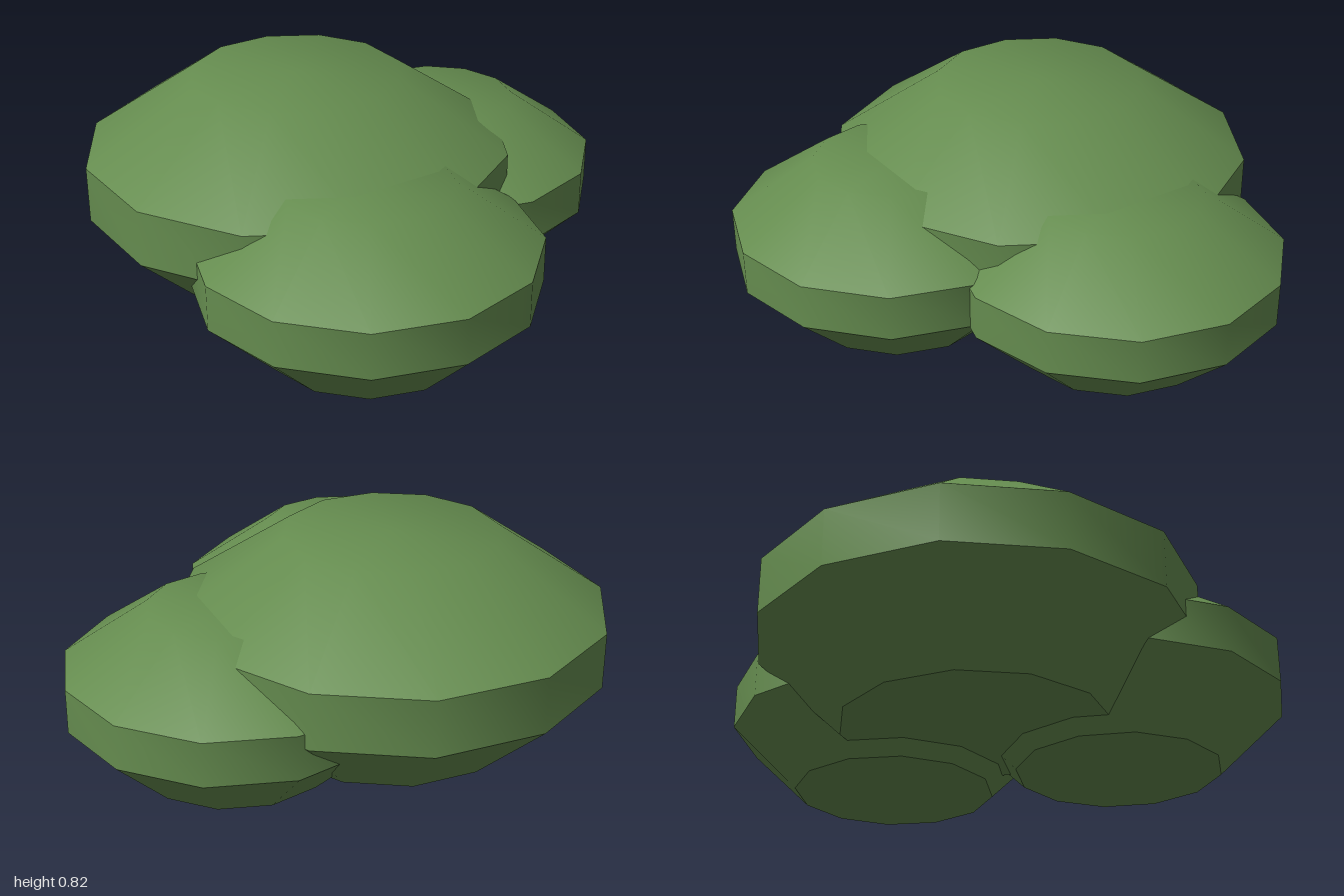
import * as THREE from 'three';
import { toCreasedNormals } from 'three/addons/utils/BufferGeometryUtils.js';

const SIDES = 12;

// Relative profile of one leafy clump: [radius, height], from base to crown
const PROFILE = [[0, 0], [0.605, 0], [1, 0.38], [1, 0.65], [0.495, 1], [0, 1]];

function clumpGeometry(radius, height, turnDegrees) {
  const points = PROFILE.map(([r, y]) => new THREE.Vector2(r * radius, y * height));
  const lathe = new THREE.LatheGeometry(points, SIDES, -THREE.MathUtils.degToRad(turnDegrees));
  // Soft round the sides and over the crown, sharp at the belt and base
  return toCreasedNormals(lathe, THREE.MathUtils.degToRad(40));
}

export function createModel() {
  const leafGreen = new THREE.MeshStandardMaterial({ color: 0x658c4f });
  leafGreen.name = 'leafGreen';

  const bush = new THREE.Group();
  bush.name = 'bush';

  // Three overlapping clumps
  const clumps = [
    { name: 'largeBackClump', at: [-0.22, 0.05, -0.22], radius: 0.795, height: 0.775, turn: 13 },
    { name: 'frontClump', at: [-0.28, 0, 0.375], radius: 0.624, height: 0.63, turn: 1 },
    { name: 'leftClump', at: [0.375, 0, -0.178], radius: 0.615, height: 0.615, turn: -2 },
  ];
  for (const { name, at, radius, height, turn } of clumps) {
    const mesh = new THREE.Mesh(clumpGeometry(radius, height, turn), leafGreen);
    mesh.name = name;
    mesh.position.set(...at);
    bush.add(mesh);
  }
  return bush;
}
